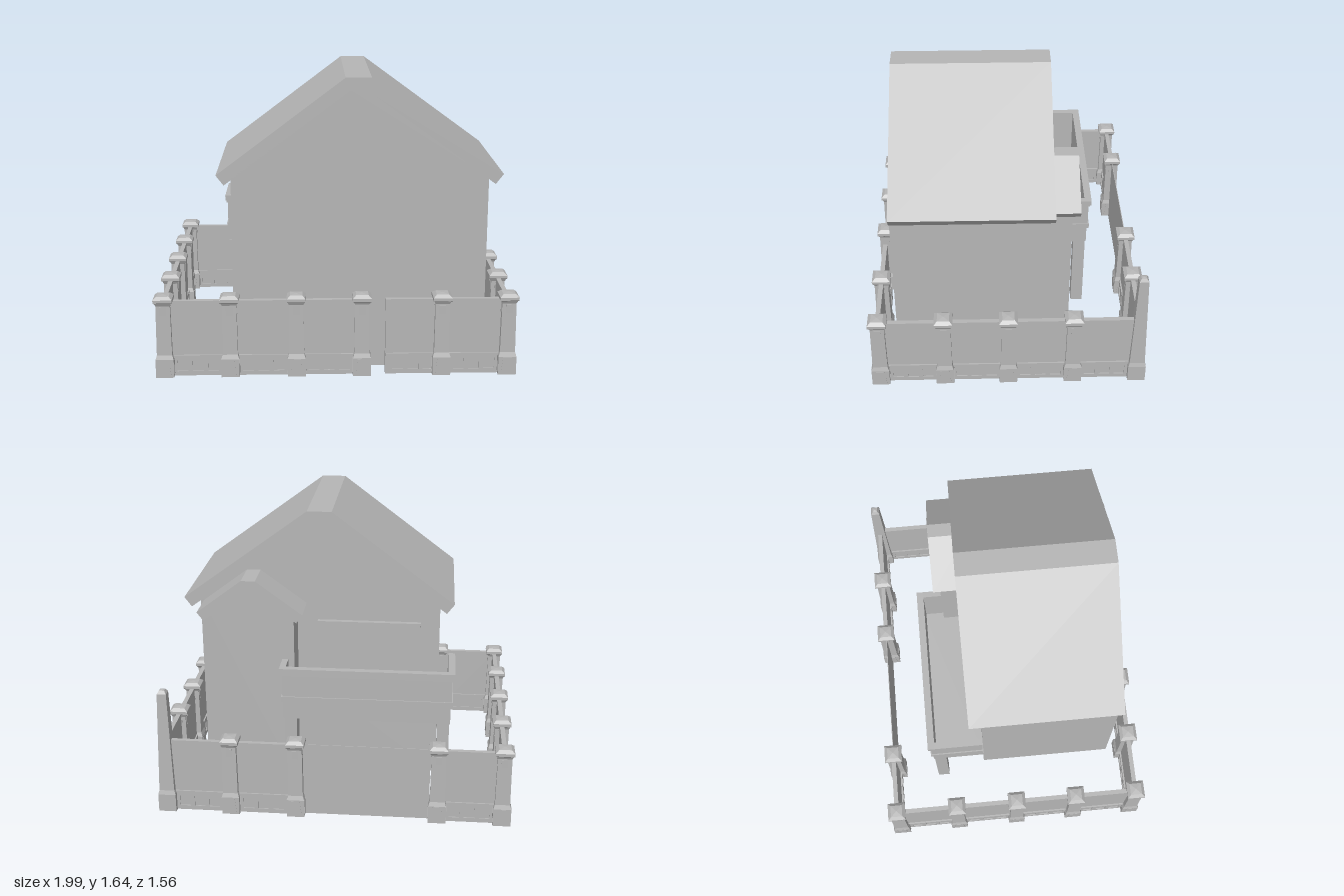
import * as THREE from 'three';

const stone = new THREE.MeshStandardMaterial({ color: 0xb6b6b6 });
stone.name = 'grey stone';

function add(parent, name, geometry, x = 0, y = 0, z = 0) {
  const mesh = new THREE.Mesh(geometry, stone);
  mesh.name = name;
  mesh.position.set(x, y, z);
  parent.add(mesh);
  return mesh;
}

// Box given by its limits on each axis
function block(parent, name, x0, x1, y0, y1, z0, z1) {
  return add(parent, name, new THREE.BoxGeometry(x1 - x0, y1 - y0, z1 - z0),
    (x0 + x1) / 2, (y0 + y1) / 2, (z0 + z1) / 2);
}

const polygon = (pts) => new THREE.Shape(pts.map(([x, y]) => new THREE.Vector2(x, y)));

function prism(parent, name, pts, z0, z1) {
  const geometry = new THREE.ExtrudeGeometry(polygon(pts), { depth: z1 - z0, bevelEnabled: false });
  return add(parent, name, geometry, 0, 0, z0);
}

// Square solid of changing width: profile holds [half width, height] pairs
function squareTurned(profile) {
  const pts = profile.map(([r, y]) => new THREE.Vector2(r * Math.SQRT2, y));
  const geometry = new THREE.LatheGeometry(pts, 4).rotateY(Math.PI / 4).toNonIndexed();
  geometry.computeVertexNormals();
  return geometry;
}

// Gabled block: flat-ridged roof slab with square-cut eaves, and the wall below it
function gable(parent, name, { wall, wallZ, eaves, ridge, eaveY, topY, thick, roofZ }) {
  const slope = (topY - eaveY) / (ridge[0] - eaves[0]);
  const a = Math.atan(slope);
  const dx = thick * Math.sin(a), dy = thick * Math.cos(a), dr = thick * Math.tan(a / 2);
  prism(parent, name + 'Roof', [
    [eaves[0], eaveY], [eaves[0] + dx, eaveY - dy],
    [ridge[0] + dr, topY - thick], [ridge[1] - dr, topY - thick],
    [eaves[1] - dx, eaveY - dy], [eaves[1], eaveY],
    [ridge[1], topY], [ridge[0], topY],
  ], roofZ[0], roofZ[1]);
  const shoulder = eaveY - thick / Math.cos(a) + 0.01;
  prism(parent, name + 'Walls', [
    [wall[0], 0], [wall[1], 0],
    [wall[1], shoulder + (eaves[1] - wall[1]) * slope],
    [ridge[1] - dr, topY - thick + 0.008], [ridge[0] + dr, topY - thick + 0.008],
    [wall[0], shoulder + (wall[0] - eaves[0]) * slope],
  ], wallZ[0], wallZ[1]);
}

function buildHouse() {
  const house = new THREE.Group();
  house.name = 'house';
  gable(house, 'main', {
    wall: [-0.57, 0.83], wallZ: [-0.175, 0.63], eaves: [-0.65, 0.91], ridge: [0.05, 0.19],
    eaveY: 1.11, topY: 1.637, thick: 0.07, roofZ: [-0.25, 0.63],
  });
  gable(house, 'bay', {
    wall: [0.26, 0.745], wallZ: [-0.35, -0.17], eaves: [0.205, 0.81], ridge: [0.47, 0.55],
    eaveY: 1.07, topY: 1.265, thick: 0.06, roofZ: [-0.39, -0.17],
  });
  block(house, 'gableBeam', -0.46, 0.14, 0.94, 0.97, -0.205, -0.17);
  return house;
}

function buildBalcony() {
  const balcony = new THREE.Group();
  balcony.name = 'balcony';
  block(balcony, 'balconyFloor', -0.645, 0.31, 0.47, 0.5, -0.475, -0.175);
  // Parapet layers: height range and how far each stands out
  const layers = [[0.47, 0.58, 0], [0.58, 0.61, 0.012], [0.61, 0.74, 0.005], [0.74, 0.755, 0.012], [0.755, 0.785, 0.02]];
  for (const [y0, y1, out] of layers) {
    block(balcony, 'parapetBack', -0.645 - out, 0.31 + out, y0, y1, -0.48 - out, -0.46);
    block(balcony, 'parapetRight', -0.645 - out, -0.625, y0, y1, -0.46, -0.18);
    block(balcony, 'parapetLeft', 0.295, 0.31 + out, y0, y1, -0.46, -0.35);
  }
  for (const x of [-0.605, 0.27]) block(balcony, 'balconyColumn', x - 0.035, x + 0.035, 0, 0.475, -0.475, -0.405);
  return balcony;
}

// Fence post with a moulded cap and inset panels on all four sides
const postGeometry = squareTurned([
  [0, 0], [0.05, 0], [0.05, 0.105], [0.042, 0.13], [0.039, 0.415], [0.046, 0.43],
  [0.052, 0.435], [0.052, 0.452], [0.034, 0.468], [0, 0.472],
]);
const plate = (pts) => new THREE.ExtrudeGeometry(polygon(pts), { depth: 0.004, bevelEnabled: false });
const lowerPlate = plate([[-0.034, 0.015], [0.034, 0.015], [0.024, 0.1], [-0.024, 0.1]]);
const upperPlate = plate([[-0.018, 0.36], [0.018, 0.36], [0.018, 0.408], [-0.018, 0.408]]);

function buildPost(x, z) {
  const post = new THREE.Group();
  post.name = 'fencePost';
  post.position.set(x, 0, z);
  add(post, 'postBody', postGeometry);
  for (let i = 0; i < 4; i++) {
    const side = new THREE.Group();
    side.name = 'postPanels';
    side.rotation.y = i * Math.PI / 2;
    add(side, 'lowerPanel', lowerPlate, 0, 0, 0.048);
    add(side, 'upperPanel', upperPlate, 0, 0, 0.038);
    post.add(side);
  }
  return post;
}

// One stretch of fence wall along local x, with a plinth of recessed squares
function buildSpan(length) {
  const span = new THREE.Group();
  span.name = 'fenceSpan';
  const h = length / 2;
  block(span, 'fenceWall', -h, h, 0, 0.435, -0.013, 0.013);
  block(span, 'plinthMoulding', -h, h, 0.105, 0.12, -0.022, 0.022);
  const face = polygon([[-h, 0], [h, 0], [h, 0.105], [-h, 0.105]]);
  for (const c of [-0.085, 0, 0.085]) {
    face.holes.push(new THREE.Path([[-0.03, 0.025], [-0.03, 0.088], [0.03, 0.088], [0.03, 0.025]]
      .map(([x, y]) => new THREE.Vector2(c + x, y))));
  }
  const geometry = new THREE.ExtrudeGeometry(face, { depth: 0.008, bevelEnabled: false });
  add(span, 'plinthFront', geometry, 0, 0, 0.012);
  add(span, 'plinthBack', geometry, 0, 0, -0.02);
  return span;
}

function buildFence() {
  const fence = new THREE.Group();
  fence.name = 'fence';
  const E = 0.945, F = 0.725, B = -0.73;
  const posts = [
    ...[-E, -0.585, -0.22, 0.14, 0.58, E].map((x) => [x, F]),
    ...[-E, -0.585, 0.21, 0.58].map((x) => [x, B]),
    ...[-0.365, 0, 0.36].flatMap((z) => [[-E, z], [E, z]]),
  ];
  for (const [x, z] of posts) fence.add(buildPost(x, z));

  // Runs along x, leaving the front and back gateways open
  const runs = [[F, [-E, -0.585, -0.22, 0.14]], [F, [0.27, 0.58, E]], [B, [-E, -0.585]], [B, [0.21, 0.58, E]]];
  for (const [z, xs] of runs) {
    for (let i = 1; i < xs.length; i++) {
      const span = buildSpan(xs[i] - xs[i - 1]);
      span.position.set((xs[i] + xs[i - 1]) / 2, 0, z);
      fence.add(span);
    }
  }
  // Runs along z on both sides
  const zs = [B, -0.365, 0, 0.36, F];
  for (const x of [-E, E]) {
    for (let i = 1; i < zs.length; i++) {
      const span = buildSpan(zs[i] - zs[i - 1]);
      span.position.set(x, 0, (zs[i] + zs[i - 1]) / 2);
      span.rotation.y = Math.PI / 2;
      fence.add(span);
    }
  }
  // Plain sheet closing the back gateway
  block(fence, 'backGate', -0.54, 0.17, 0, 0.435, B - 0.002, B + 0.002);
  // Tall tapered corner pillar
  add(fence, 'obelisk', squareTurned([
    [0, 0], [0.05, 0], [0.05, 0.105], [0.043, 0.13], [0.026, 0.72], [0.015, 0.738], [0, 0.742],
  ]), E, 0, B);
  return fence;
}

export function createModel() {
  const model = new THREE.Group();
  model.name = 'walledHouse';
  model.add(buildHouse(), buildBalcony(), buildFence());
  return model;
}
